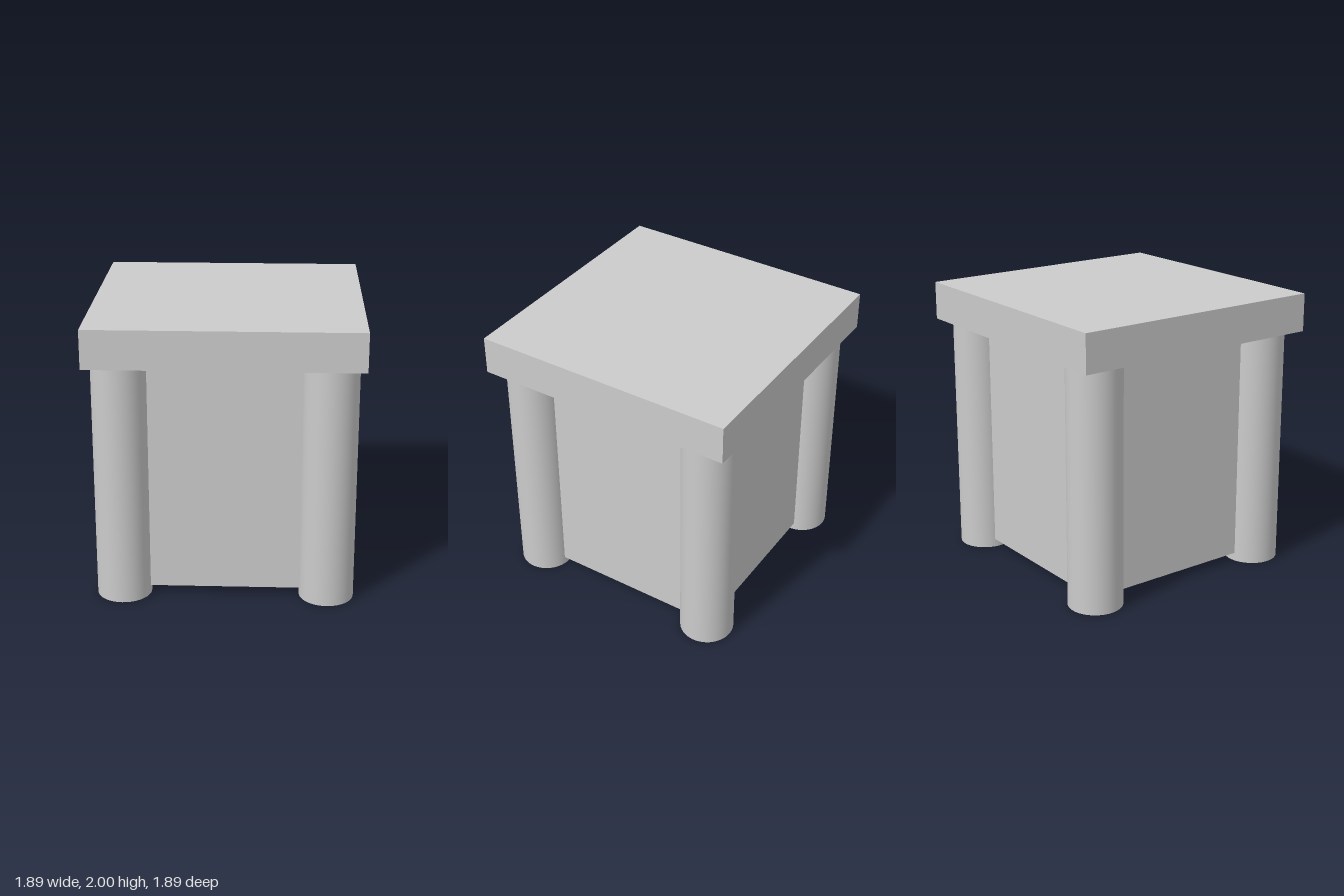
import * as THREE from 'three';

export function createModel() {
  const group = new THREE.Group();
  const material = new THREE.MeshStandardMaterial({ color: 0xcccccc });
  const topBase = 1.727;

  function add(name, geometry, x, y, z) {
    const mesh = new THREE.Mesh(geometry, material);
    mesh.name = name;
    mesh.position.set(x, y, z);
    group.add(mesh);
  }

  // Overhanging square slab on top
  add('topSlab', new THREE.BoxGeometry(1.89, 2 - topBase, 1.89), 0, (2 + topBase) / 2, 0);

  // Square body, raised slightly off the ground
  const bodyBase = 0.06;
  add('body', new THREE.BoxGeometry(1.51, topBase - bodyBase, 1.51), 0, (topBase + bodyBase) / 2, 0);

  // Round corner posts
  const post = new THREE.CylinderGeometry(0.193, 0.193, topBase, 48);
  for (const [xName, sx] of [['Left', 1], ['Right', -1]]) {
    for (const [zName, sz] of [['front', 1], ['back', -1]]) {
      add(`${zName}${xName}Post`, post, sx * 0.717, topBase / 2, sz * 0.717);
    }
  }

  return group;
}
